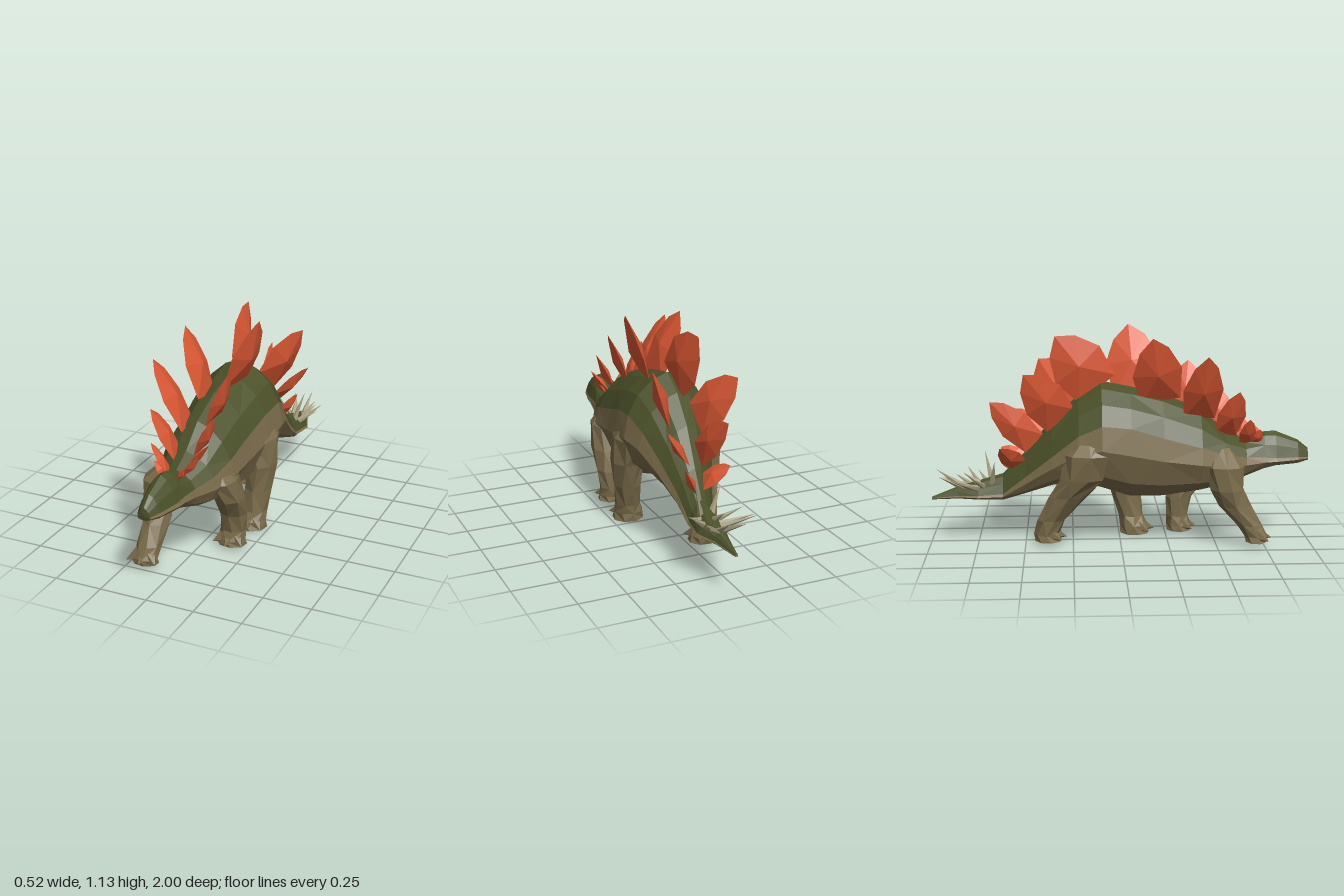
import * as THREE from 'three';

const V = (x, y, z) => new THREE.Vector3(x, y, z);
const mat = (name, color) => new THREE.MeshStandardMaterial({ name, color, flatShading: true, side: THREE.DoubleSide });

// Flat-faced mesh from a list of triangle corners
function faceted(points) {
  const g = new THREE.BufferGeometry().setFromPoints(points);
  g.computeVertexNormals();
  return g;
}

// Skin between successive rings of points
function loft(rings, closed) {
  const out = [];
  for (let i = 0; i < rings.length - 1; i++) {
    const r = rings[i], s = rings[i + 1], n = r.length;
    for (let j = 0; j < (closed ? n : n - 1); j++) {
      const k = (j + 1) % n;
      if ((i + j) % 2) out.push(r[j], s[j], r[k], r[k], s[j], s[k]);
      else out.push(r[j], s[j], s[k], r[j], s[k], r[k]);
    }
  }
  return faceted(out);
}

export function createModel() {
  const model = new THREE.Group();
  model.name = 'platedDinosaur';
  const green = mat('mossGreen', 0x4b5129);
  const brown = mat('hideBrown', 0x7b6c4b);
  const orange = mat('plateOrange', 0xda5733);
  const bone = mat('spikeBone', 0xa8a083);
  const add = (geometry, material, name, parent = model) => {
    const m = new THREE.Mesh(geometry, material);
    m.name = name;
    parent.add(m);
    return m;
  };

  // Body stations, nose to tail tip: z, centre x, half width, top, colour line, bottom
  const stations = [
    [0.995, 0, 0.035, 0.495, 0.45, 0.43], [0.94, 0, 0.062, 0.54, 0.455, 0.415],
    [0.82, 0, 0.092, 0.588, 0.455, 0.405], [0.76, 0, 0.098, 0.585, 0.46, 0.39],
    [0.66, 0, 0.115, 0.545, 0.465, 0.35], [0.55, 0, 0.165, 0.6, 0.485, 0.31],
    [0.42, 0, 0.2, 0.71, 0.53, 0.28], [0.22, 0, 0.212, 0.79, 0.585, 0.25],
    [0.05, 0, 0.235, 0.83, 0.64, 0.25], [-0.1, 0, 0.245, 0.86, 0.655, 0.30],
    [-0.22, 0, 0.215, 0.785, 0.6, 0.33], [-0.36, 0.01, 0.16, 0.655, 0.48, 0.31],
    [-0.5, 0.03, 0.105, 0.48, 0.36, 0.26], [-0.62, 0.05, 0.075, 0.36, 0.26, 0.22],
    [-0.75, 0.06, 0.08, 0.32, 0.25, 0.222], [-0.86, 0.055, 0.04, 0.29, 0.245, 0.225],
    [-1.0, 0.05, 0.008, 0.235, 0.228, 0.22],
  ];
  // Half cross-sections: share of half width, share of depth
  const backHalf = [[0.9, 1], [0.67, 0.5], [0.34, 0.15], [0, 0]];
  const bellyHalf = [[0.9, 0], [1, 0.35], [0.78, 0.75], [0.35, 0.97], [0, 1]];
  const section = (half, side, [z, cx, w], from, to) => {
    const mirrored = half.slice(0, -1).reverse().map(([a, b]) => [-a, b]);
    return [...half, ...mirrored].map(([a, b]) => V(cx + side * a * w, from + (to - from) * b, z));
  };
  add(loft(stations.map(s => section(backHalf, 1, s, s[3], s[4])), false), green, 'backHeadAndTail');
  add(loft(stations.map(s => section(bellyHalf, -1, s, s[4], s[5])), false), brown, 'bellyAndJaw');
  // Snout end
  const n0 = stations[0];
  const snout = [...section(backHalf, 1, n0, n0[3], n0[4]), ...section(bellyHalf, -1, n0, n0[4], n0[5])];
  add(faceted(snout.flatMap((p, i) => [V(0, 0.46, 1), p, snout[(i + 1) % snout.length]])), green, 'snoutTip');

  // Legs: rings of x, y, z, radius x, radius z, from hip to sole
  const legs = {
    hindLeftLeg: [[0.13, 0.63, -0.04, 0.06, 0.08], [0.165, 0.5, 0, 0.092, 0.135], [0.178, 0.36, 0.025, 0.085, 0.105],
      [0.17, 0.22, 0.04, 0.075, 0.08], [0.16, 0.1, 0.065, 0.068, 0.067], [0.15, 0.05, 0.08, 0.08, 0.075], [0.15, 0.005, 0.085, 0.085, 0.08]],
    hindRightLeg: [[-0.13, 0.61, -0.13, 0.06, 0.08], [-0.165, 0.5, -0.16, 0.095, 0.135], [-0.15, 0.37, -0.2, 0.088, 0.12],
      [-0.12, 0.27, -0.275, 0.075, 0.1], [-0.09, 0.14, -0.365, 0.063, 0.075], [-0.075, 0.06, -0.39, 0.07, 0.067], [-0.075, 0.025, -0.38, 0.08, 0.07]],
    frontLeftLeg: [[0.1, 0.52, 0.46, 0.04, 0.05], [0.142, 0.43, 0.43, 0.075, 0.11], [0.158, 0.31, 0.38, 0.078, 0.1],
      [0.155, 0.2, 0.325, 0.075, 0.07], [0.15, 0.1, 0.315, 0.068, 0.06], [0.145, 0.05, 0.325, 0.075, 0.067], [0.145, 0.02, 0.325, 0.08, 0.067]],
    frontRightLeg: [[-0.1, 0.52, 0.52, 0.04, 0.05], [-0.15, 0.43, 0.54, 0.085, 0.1], [-0.155, 0.31, 0.55, 0.082, 0.09],
      [-0.145, 0.22, 0.595, 0.073, 0.085], [-0.15, 0.12, 0.67, 0.065, 0.067], [-0.155, 0.06, 0.705, 0.065, 0.06], [-0.158, 0.03, 0.705, 0.072, 0.055]],
  };
  const sides = 8;
  for (const [name, rows] of Object.entries(legs)) {
    const leg = new THREE.Group();
    leg.name = name;
    model.add(leg);
    const sole = rows[rows.length - 1];
    const [x0, y0, z0] = rows[0];
    const capped = [[x0, y0, z0, 0, 0], ...rows, [...sole.slice(0, 3), 0, 0]];
    const rings = capped.map(([x, y, z, rx, rz], i) =>
      Array.from({ length: sides }, (_, j) => {
        const a = -(j + 0.3 * (i % 2)) / sides * Math.PI * 2;
        return V(x + rx * Math.cos(a), y, z + rz * Math.sin(a));
      }));
    add(loft(rings, true), brown, 'limb', leg);
    // Broad toes fan out from the front of the foot
    for (const a of [-0.8, 0, 0.8]) {
      const g = new THREE.ConeGeometry(0.042, 0.08, 5).rotateX(Math.PI / 2 + 0.3);
      const toe = add(g, brown, 'toe', leg);
      toe.position.set(sole[0] + Math.sin(a) * 0.075, sole[1] + 0.03, sole[2] + Math.cos(a) * (sole[4] - 0.012));
      toe.rotation.y = a;
    }
  }

  // Back plate: blunt kite outline with a raised middle on both faces
  const outline = [[0, -0.4], [0.45, -0.5], [0.8, -0.3], [1, 0], [0.83, 0.28], [0.48, 0.5], [0, 0.4]];
  function plate(base, tip, width, twist) {
    const b = V(...base), u = V(...tip).sub(b), up = u.clone().normalize();
    const w = V(twist, 0, 1).normalize();
    w.addScaledVector(up, -up.dot(w)).normalize();
    const n = new THREE.Vector3().crossVectors(up, w);
    const at = (t, s, d) => b.clone().addScaledVector(u, t).addScaledVector(w, s * width).addScaledVector(n, d);
    const thick = 0.01 + width * 0.1;
    const tris = [];
    outline.forEach(([t, s], i) => {
      const [t2, s2] = outline[(i + 1) % outline.length];
      tris.push(at(t, s, 0), at(t2, s2, 0), at(0.45, 0, thick));
      tris.push(at(t2, s2, 0), at(t, s, 0), at(0.45, 0, -thick));
    });
    return faceted(tris);
  }
  // Base, tip, width, twist about the vertical
  const plates = {
    leftBackPlate: [
      [[0.04, 0.53, 0.71], [0.08, 0.6, 0.73], 0.06, 0],
      [[0.05, 0.53, 0.65], [0.12, 0.64, 0.66], 0.09, -0.2],
      [[0.05, 0.56, 0.6], [0.15, 0.68, 0.61], 0.08, -0.2],
      [[0.06, 0.6, 0.51], [0.14, 0.79, 0.55], 0.15, -0.1],
      [[0.05, 0.69, 0.34], [0.14, 0.95, 0.37], 0.19, -0.1],
      [[0.05, 0.79, 0.085], [0.17, 1.14, 0.05], 0.29, -0.15],
      [[0.08, 0.7, -0.25], [0.22, 0.95, -0.43], 0.28, -0.35],
      [[0.06, 0.53, -0.43], [0.2, 0.68, -0.58], 0.17, -0.3],
      [[0.06, 0.4, -0.53], [0.12, 0.49, -0.63], 0.13, -0.2],
    ],
    rightBackPlate: [
      [[-0.04, 0.53, 0.71], [-0.08, 0.61, 0.73], 0.06, 0],
      [[-0.04, 0.53, 0.66], [-0.13, 0.67, 0.67], 0.09, 0.2],
      [[-0.05, 0.58, 0.55], [-0.16, 0.82, 0.61], 0.15, 0.1],
      [[-0.06, 0.67, 0.41], [-0.23, 1.01, 0.44], 0.21, 0.1],
      [[-0.05, 0.76, 0.21], [-0.19, 1.10, 0.16], 0.26, 0.1],
      [[-0.02, 0.82, -0.12], [-0.06, 1.10, -0.34], 0.3, 0.1],
      [[-0.06, 0.66, -0.31], [-0.2, 0.92, -0.5], 0.23, 0.35],
      [[-0.01, 0.53, -0.45], [-0.06, 0.76, -0.68], 0.17, 0.1],
      [[0.01, 0.41, -0.53], [-0.1, 0.52, -0.63], 0.12, 0.2],
    ],
  };
  for (const [name, row] of Object.entries(plates))
    for (const p of row) add(plate(...p), orange, name);

  // Tail spikes: base to tip
  const spikes = [
    [[0.03, 0.3, -0.68], [-0.03, 0.44, -0.66]], [[0.08, 0.3, -0.68], [0.13, 0.47, -0.72]],
    [[0.03, 0.29, -0.72], [-0.1, 0.36, -0.77]], [[0.09, 0.29, -0.7], [0.19, 0.35, -0.76]],
    [[0.03, 0.28, -0.75], [-0.14, 0.34, -0.83]], [[0.09, 0.28, -0.74], [0.2, 0.37, -0.82]],
    [[0.04, 0.28, -0.78], [-0.12, 0.36, -0.89]], [[0.09, 0.28, -0.78], [0.14, 0.34, -0.88]],
    [[0.04, 0.28, -0.82], [-0.02, 0.36, -0.96]], [[0.08, 0.28, -0.83], [0.08, 0.38, -0.98]],
    [[0.05, 0.3, -0.74], [0.03, 0.37, -0.83]], [[0.08, 0.28, -0.8], [0.11, 0.33, -0.95]],
  ];
  for (const [b, t] of spikes) {
    const from = V(...b), dir = V(...t).sub(from), len = dir.length();
    const spike = add(new THREE.ConeGeometry(0.019, len, 5).translate(0, len / 2, 0), bone, 'tailSpike');
    spike.position.copy(from);
    spike.quaternion.setFromUnitVectors(V(0, 1, 0), dir.normalize());
  }
  return model;
}
